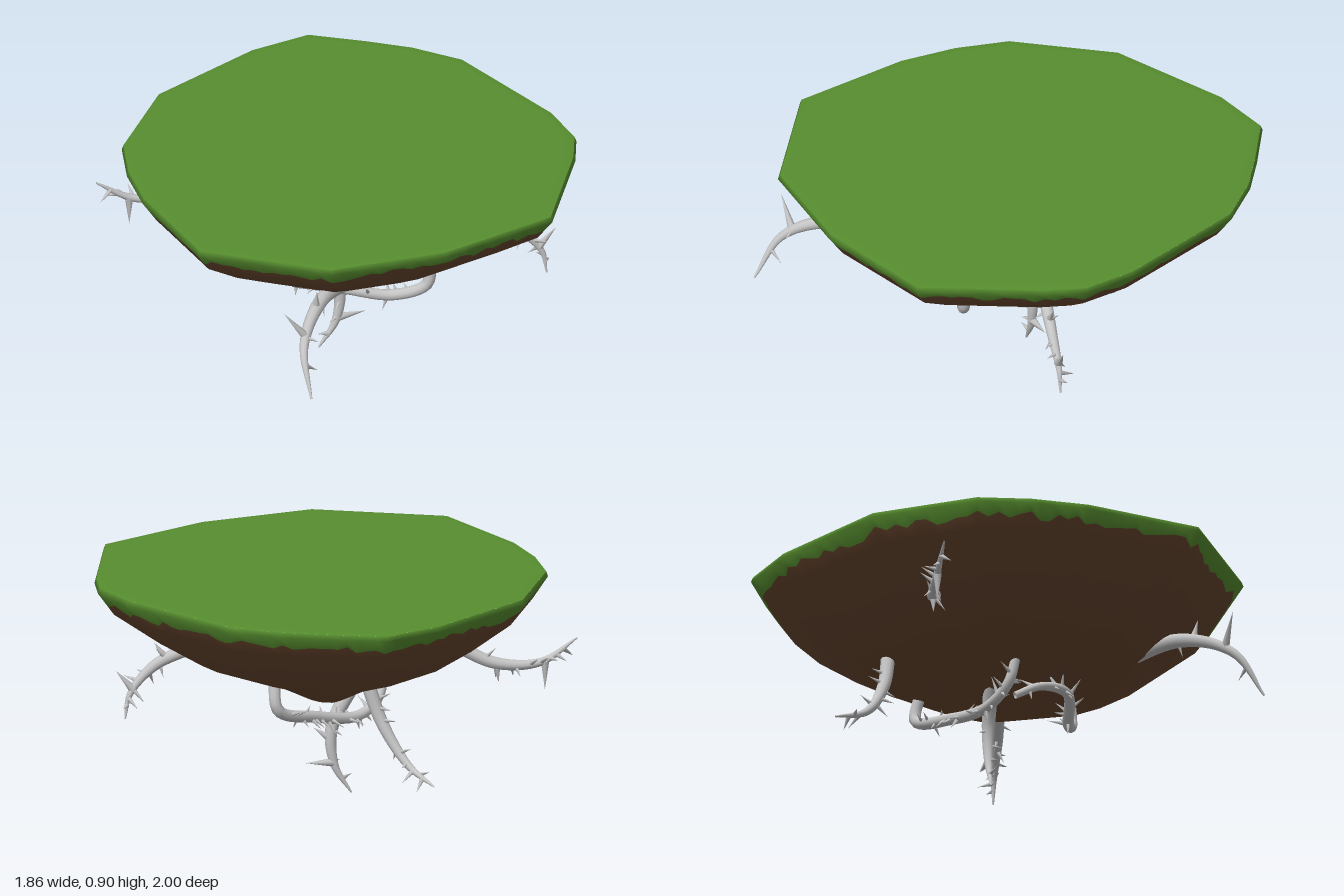
import * as THREE from 'three';
import { mergeGeometries } from 'three/addons/utils/BufferGeometryUtils.js';

// Rim corners as x, z, clockwise seen from above
const OUTLINE = [
  [0.02, -1], [0.24, -0.91], [0.41, -0.83], [0.59, -0.7], [0.87, -0.21], [0.93, 0],
  [0.9, 0.16], [0.73, 0.64], [0.27, 0.86], [-0.2, 0.93], [-0.69, 0.69], [-0.84, 0.23],
  [-0.865, 0], [-0.85, -0.22], [-0.645, -0.61], [-0.22, -0.91],
];

// Island rows: height and scale of the outline; the grass row is ragged
const ROWS = [[0.9, 0.992], [0.88, 1], [0.835, 0.965], [0.79, 0.93], [0.66, 0.73],
  [0.56, 0.55], [0.47, 0.25], [0.395, 0.08], [0.39, 0]];
const GRASS_ROW = 2;

function seeded(seed) {
  return () => {
    seed = (seed * 16807) % 2147483647;
    return seed / 2147483647;
  };
}

// Outline split into short, even steps
function rimPoints() {
  return OUTLINE.flatMap(([x, z], i) => {
    const [nx, nz] = OUTLINE[(i + 1) % OUTLINE.length];
    const steps = Math.ceil(Math.hypot(nx - x, nz - z) / 0.045);
    return Array.from({ length: steps }, (_, k) => [x + (nx - x) * k / steps, z + (nz - z) * k / steps]);
  });
}

function buildGeometry(positions, index) {
  const g = new THREE.BufferGeometry();
  g.setAttribute('position', new THREE.Float32BufferAttribute(positions, 3));
  g.setIndex(index);
  g.computeVertexNormals();
  return g;
}

// Sloping side and underside, grass above the ragged edge and soil below
function islandSide() {
  const rand = seeded(11), rim = rimPoints(), cols = rim.length, pos = [], idx = [];
  ROWS.forEach(([y, s], r) => {
    for (const [x, z] of rim) {
      const d = r === GRASS_ROW ? (rand() - 0.5) * 0.034 : 0;
      const k = s + d * 0.78;
      pos.push(x * k, y + d, z * k - 0.03 * (1 - k));
    }
  });
  for (let r = 0; r < ROWS.length - 1; r++) {
    for (let c = 0; c < cols; c++) {
      const a = r * cols + c, b = r * cols + (c + 1) % cols;
      idx.push(a, b, a + cols, b, b + cols, a + cols);
    }
  }
  const g = buildGeometry(pos, idx), split = GRASS_ROW * cols * 6;
  g.addGroup(0, split, 0);
  g.addGroup(split, idx.length - split, 1);
  return g;
}

// Flat lawn with a slight fall at the edge
function islandTop() {
  const pos = [0, 0.906, 0], idx = [], n = OUTLINE.length;
  for (const [y, s] of [[0.906, 0.95], ROWS[0]]) {
    for (const [x, z] of OUTLINE) pos.push(x * s, y, z * s);
  }
  for (let i = 0; i < n; i++) {
    const a = 1 + i, b = 1 + (i + 1) % n;
    idx.push(0, b, a, a, b, a + n, b, b + n, a + n);
  }
  return buildGeometry(pos, idx);
}

// Cone standing on a base point and leaning along a vector
function thorn(base, offset, radius) {
  const len = offset.length(), up = new THREE.Vector3(0, 1, 0);
  return new THREE.ConeGeometry(radius, len, 7)
    .translate(0, len / 2, 0)
    .applyQuaternion(new THREE.Quaternion().setFromUnitVectors(up, offset.clone().normalize()))
    .translate(base.x, base.y, base.z);
}

// Tapered tube with scattered small thorns and a few large ones
function rootGeometry({ path, thick, tip = 0.12, thorns, large = [] }, seed) {
  const rand = seeded(seed), segs = 36, sides = 10;
  const curve = new THREE.CatmullRomCurve3(path.map(p => new THREE.Vector3(...p)));
  const radiusAt = t => thick * THREE.MathUtils.lerp(1, tip, t * t);
  const tube = new THREE.TubeGeometry(curve, segs, 1, sides);
  const p = tube.attributes.position, v = new THREE.Vector3();
  for (let i = 0; i < p.count; i++) {
    const t = Math.floor(i / (sides + 1)) / segs, centre = curve.getPointAt(t);
    v.fromBufferAttribute(p, i).sub(centre).multiplyScalar(radiusAt(t)).add(centre);
    p.setXYZ(i, v.x, v.y, v.z);
  }
  const parts = [tube];
  for (let i = 0; i < thorns; i++) {
    const t = 0.22 + 0.72 * (i + rand() * 0.8) / thorns;
    const along = curve.getTangentAt(t);
    const out = new THREE.Vector3(rand() - 0.5, rand() - 0.5, rand() - 0.5).cross(along).normalize();
    out.addScaledVector(along, 0.3).multiplyScalar(radiusAt(t) + 0.025 + rand() * 0.04);
    parts.push(thorn(curve.getPointAt(t), out, 0.011));
  }
  for (const [t, ...offset] of large) {
    parts.push(thorn(curve.getPointAt(t), new THREE.Vector3(...offset), 0.018));
  }
  return mergeGeometries(parts);
}

export function createModel() {
  const grass = new THREE.MeshStandardMaterial({ name: 'grass', color: 0x578e2f });
  const soil = new THREE.MeshStandardMaterial({ name: 'soil', color: 0x6a472f });
  const bone = new THREE.MeshStandardMaterial({ name: 'paleRoot', color: 0xc4c4c4, side: THREE.DoubleSide });
  const group = new THREE.Group();
  group.name = 'floatingIsland';
  const add = (name, geometry, material) => {
    const mesh = new THREE.Mesh(geometry, material);
    mesh.name = name;
    group.add(mesh);
  };
  add('lawn', islandTop(), grass);
  add('islandSide', islandSide(), [grass, soil]);

  // Each root: path, thickness, tip taper, small thorns, and large thorns as [place on path, x, y, z]
  add('frontRoot', rootGeometry({
    path: [[0, 0.58, 0.4], [-0.2, 0.63, 0.68], [-0.3, 0.54, 0.88], [-0.29, 0.37, 1]],
    thick: 0.034, thorns: 4, large: [[0.68, -0.09, 0.12, 0.02], [0.5, 0, 0.09, 0.02]],
  }, 101), bone);
  add('rightRoot', rootGeometry({
    path: [[-0.45, 0.65, -0.33], [-0.6, 0.58, -0.36], [-0.78, 0.575, -0.37], [-0.93, 0.66, -0.36]],
    thick: 0.026, thorns: 9, large: [[0.7, 0, -0.12, 0], [0.32, -0.01, -0.08, 0]],
  }, 138), bone);
  add('leftRoot', rootGeometry({
    path: [[0.5, 0.63, 0.05], [0.68, 0.55, 0.07], [0.78, 0.44, 0.07], [0.8, 0.34, 0.07]],
    thick: 0.026, thorns: 9, large: [[0.32, 0.05, 0.07, 0], [0.72, 0.07, 0.08, 0]],
  }, 175), bone);
  add('centreRoot', rootGeometry({
    path: [[-0.1, 0.46, -0.06], [-0.01, 0.28, -0.06], [-0.02, 0.13, -0.06], [-0.09, 0.01, -0.06]],
    thick: 0.03, thorns: 5, large: [[0.7, 0.12, 0.01, -0.02], [0.5, 0.07, 0.05, 0]],
  }, 212), bone);
  add('backRoot', rootGeometry({
    path: [[-0.04, 0.58, -0.46], [-0.1, 0.4, -0.49], [-0.18, 0.25, -0.57], [-0.25, 0.19, -0.7]],
    thick: 0.028, thorns: 10,
  }, 249), bone);
  add('backHookRoot', rootGeometry({
    path: [[0.29, 0.56, -0.29], [0.28, 0.44, -0.31], [0.1, 0.37, -0.2], [-0.12, 0.33, -0.08], [-0.22, 0.39, -0.01], [-0.24, 0.5, 0.02]],
    thick: 0.024, tip: 0.8, thorns: 26,
  }, 286), bone);
  add('frontHookRoot', rootGeometry({
    path: [[0.3, 0.54, 0.31], [0.28, 0.46, 0.31], [0.15, 0.41, 0.28], [-0.05, 0.44, 0.25], [-0.19, 0.4, 0.12], [-0.2, 0.35, 0.02]],
    thick: 0.024, tip: 0.6, thorns: 20,
  }, 323), bone);
  return group;
}
